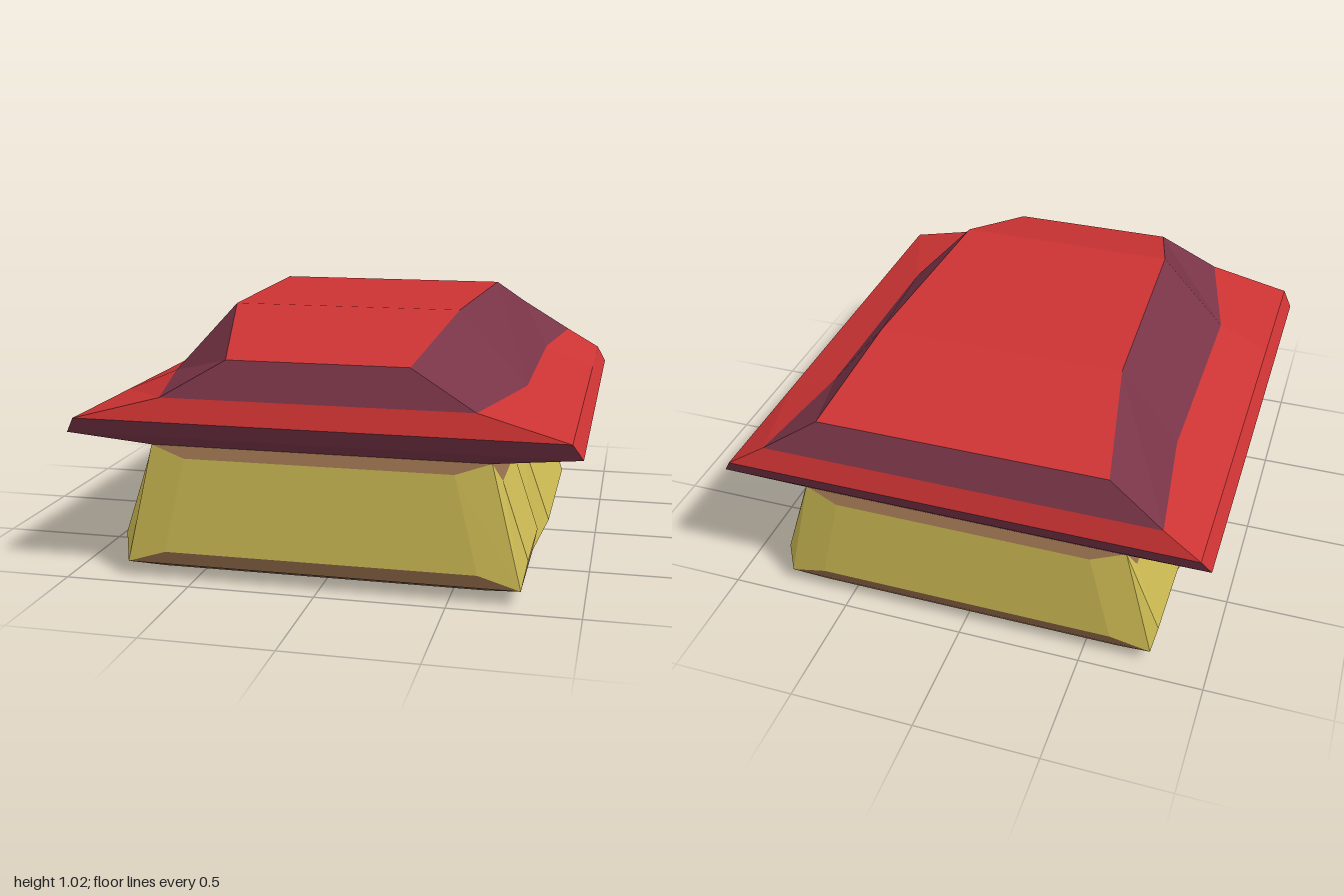
import * as THREE from 'three';

const RED = 0xcc3333, PURPLE = 0x7a3548, YELLOW = 0xd0be55, BROWN = 0x966e4c;

// One flat-shaded mesh from quads, each turned to face away from centre
function quadMesh(name, color, quads, centre) {
  const pos = [];
  for (const q of quads) {
    const [a, b, c, d] = q.map(p => new THREE.Vector3(...p));
    const normal = c.clone().sub(a).cross(d.clone().sub(b));
    const mid = a.clone().add(b).add(c).add(d).multiplyScalar(0.25).sub(centre);
    const order = normal.dot(mid) > 0 ? [a, b, c, a, c, d] : [a, c, b, a, d, c];
    order.forEach(p => pos.push(p.x, p.y, p.z));
  }
  const geo = new THREE.BufferGeometry();
  geo.setAttribute('position', new THREE.Float32BufferAttribute(pos, 3));
  geo.computeVertexNormals();
  const mesh = new THREE.Mesh(geo, new THREE.MeshStandardMaterial({ color, flatShading: true }));
  mesh.name = name;
  return mesh;
}

// Raised panel: bevels run from the outer corners to the inner ones
// corners run bottom, bottom, top, top
function panel(outer, inner, parts, bevelColors, faceColor) {
  parts[faceColor].push(inner);
  for (let i = 0; i < 4; i++) {
    const j = (i + 1) % 4;
    parts[bevelColors[i]].push([outer[i], outer[j], inner[j], inner[i]]);
  }
}

// Body block between z0 and z1, narrower at the top than at the base
function bodyBlock(name, o) {
  const { z0, z1, side, bottom, end } = o;
  const parts = { [YELLOW]: [], [BROWN]: [] };
  const trim = [BROWN, YELLOW, BROWN, YELLOW];
  const xb = 0.77, xt = 0.655, yb = 0.06, yt = 0.54;
  for (const s of [1, -1]) {
    panel(
      [[s * xb, yb, z0], [s * xb, yb, z1], [s * xt, yt, z1], [s * xt, yt, z0]],
      [[s * side.xb, side.yb, side.z0], [s * side.xb, side.yb, side.z1],
        [s * side.xt, side.yt, side.z1], [s * side.xt, side.yt, side.z0]],
      parts, trim, YELLOW);
  }
  panel(
    [[-xb, yb, z0], [xb, yb, z0], [xb, yb, z1], [-xb, yb, z1]],
    [[-bottom.x, bottom.y, bottom.z0], [bottom.x, bottom.y, bottom.z0],
      [bottom.x, bottom.y, bottom.z1], [-bottom.x, bottom.y, bottom.z1]],
    parts, [BROWN, BROWN, BROWN, BROWN], BROWN);
  if (end) {
    const z = end > 0 ? z1 : z0;
    panel(
      [[-xb, yb, z], [xb, yb, z], [xt, yt, z], [-xt, yt, z]],
      [[-0.61, 0.115, end], [0.61, 0.115, end], [0.52, 0.495, end], [-0.52, 0.495, end]],
      parts, trim, YELLOW);
  }
  const group = new THREE.Group();
  group.name = name;
  const centre = new THREE.Vector3(0, 0.3, (z0 + z1) / 2);
  group.add(quadMesh(name + 'Panels', YELLOW, parts[YELLOW], centre));
  group.add(quadMesh(name + 'Trim', BROWN, parts[BROWN], centre));
  return group;
}

// Roof: rings of right-hand points from front to back, mirrored to the left
function roof() {
  const Z = 0.455;
  const straight = (x, y, z) => [[x, y, z], [x, y, Z], [x, y, -Z], [x, y, -z]];
  const rings = [
    straight(0.655, 0.54, 0.93),
    straight(0.982, 0.582, 0.972),
    straight(0.943, 0.645, 1),
    [[0.6, 0.735, 0.972], [0.73, 0.735, Z], [0.73, 0.735, -Z], [0.795, 0.735, -0.975]],
    [[0.35, 0.88, 0.925], [0.457, 1.025, Z], [0.497, 1.025, -Z], [0.578, 0.875, -0.925]],
  ];
  const loops = rings.map(r => [...r, ...r.map(([x, y, z]) => [-x, y, z]).reverse()]);
  const red = [], purple = [];
  for (let k = 0; k < 4; k++) {
    for (let i = 0; i < 8; i++) {
      const j = (i + 1) % 8;
      const isEnd = i === 3 || i === 7;
      // red rim on the sides only, red eaves all round, purple elsewhere
      const list = k === 2 || (k === 1 && !isEnd) ? red : purple;
      list.push([loops[k][i], loops[k][j], loops[k + 1][j], loops[k + 1][i]]);
    }
  }
  // crown: front slope, flat top, back slope
  const top = loops[4];
  for (let i = 0; i < 3; i++) red.push([top[i], top[i + 1], top[6 - i], top[7 - i]]);
  const group = new THREE.Group();
  group.name = 'roof';
  const centre = new THREE.Vector3(0, 0.68, 0);
  group.add(quadMesh('roofSlopes', RED, red, centre));
  group.add(quadMesh('roofBands', PURPLE, purple, centre));
  return group;
}

export function createModel() {
  const model = new THREE.Group();
  model.name = 'roofedBlock';
  model.add(roof());
  model.add(bodyBlock('middleBody', {
    z0: -0.455, z1: 0.46,
    side: { xb: 0.825, yb: 0.17, xt: 0.72, yt: 0.465, z0: -0.38, z1: 0.39 },
    bottom: { x: 0.67, y: 0, z0: -0.4, z1: 0.405 },
  }));
  model.add(bodyBlock('frontBody', {
    z0: 0.46, z1: 0.93,
    side: { xb: 0.79, yb: 0.165, xt: 0.69, yt: 0.465, z0: 0.5, z1: 0.885 },
    bottom: { x: 0.63, y: 0.035, z0: 0.505, z1: 0.88 },
    end: 0.947,
  }));
  model.add(bodyBlock('backBody', {
    z0: -0.925, z1: -0.455,
    side: { xb: 0.79, yb: 0.16, xt: 0.69, yt: 0.47, z0: -0.89, z1: -0.485 },
    bottom: { x: 0.63, y: 0.032, z0: -0.905, z1: -0.475 },
    end: -0.947,
  }));
  return model;
}
